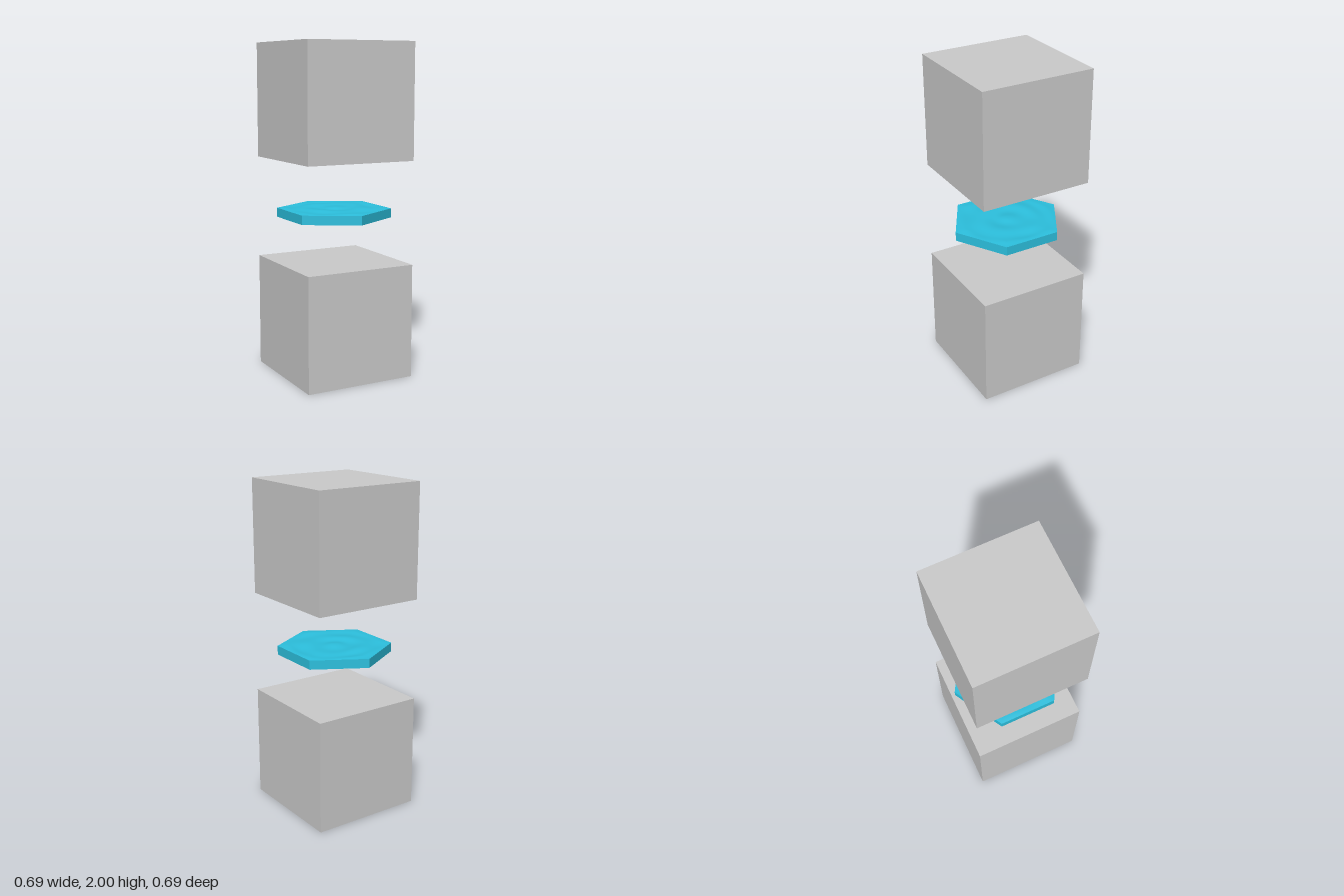
import * as THREE from 'three';
import { mergeVertices } from 'three/addons/utils/BufferGeometryUtils.js';

const SIZE = 0.69;       // cube edge
const RADIUS = 0.345;    // hexagon corner radius
const BOTTOM = 0.955, RIM = 1.01;

// Point on the hexagon outline, t in 0..1, corners on +z and -z
function hexPoint(t) {
  const k = Math.floor(t * 6), f = t * 6 - k;
  const a = k * Math.PI / 3, b = a + Math.PI / 3;
  return [
    RADIUS * THREE.MathUtils.lerp(Math.sin(a), Math.sin(b), f),
    RADIUS * THREE.MathUtils.lerp(Math.cos(a), Math.cos(b), f),
  ];
}

// Gentle irregular ripples
function ripple(x, z) {
  const d = Math.hypot(x, z);
  const warp = 0.8 * Math.sin(11 * x + 2) + 0.8 * Math.cos(13 * z - 1);
  return 0.5 * Math.sin(48 * d + warp) + 0.3 * Math.sin(23 * x - 17 * z) + 0.2 * Math.cos(31 * z + 14 * x);
}

// Water surface: concentric hexagonal rings, level along the rim
function waterSurface() {
  const geometry = new THREE.PlaneGeometry(1, 1, 96, 32);
  const pos = geometry.attributes.position, uv = geometry.attributes.uv;
  for (let i = 0; i < pos.count; i++) {
    const r = 1 - uv.getY(i);
    const [hx, hz] = hexPoint(uv.getX(i) % 1);
    const x = hx * r, z = hz * r;
    const fade = Math.min(1, (1 - r) * 6);
    pos.setXYZ(i, x, RIM + fade * (0.002 + 0.005 * ripple(x, z)), z);
  }
  geometry.deleteAttribute('uv');
  geometry.deleteAttribute('normal');
  const merged = mergeVertices(geometry, 1e-5);
  merged.computeVertexNormals();
  return merged;
}

export function createModel() {
  const model = new THREE.Group();
  const grey = new THREE.MeshStandardMaterial({ color: 0xcccccc });
  const teal = new THREE.MeshStandardMaterial({ color: 0x2cc0de });
  const tealFlat = teal.clone();
  tealFlat.flatShading = true;

  // Cubes below and above the tile
  const cube = new THREE.BoxGeometry(SIZE, SIZE, SIZE);
  for (const [name, y] of [['lowerCube', SIZE / 2], ['upperCube', 2 - SIZE / 2]]) {
    const mesh = new THREE.Mesh(cube, grey);
    mesh.name = name;
    mesh.position.y = y;
    model.add(mesh);
  }

  // Floating hexagonal water tile
  const tile = new THREE.Group();
  tile.name = 'waterTile';
  const height = RIM - BOTTOM;

  const wall = new THREE.Mesh(new THREE.CylinderGeometry(RADIUS, RADIUS, height, 6, 1, true), tealFlat);
  wall.name = 'tileWall';
  wall.position.y = BOTTOM + height / 2;

  const base = new THREE.Mesh(new THREE.CircleGeometry(RADIUS, 6, Math.PI / 2), teal);
  base.name = 'tileBase';
  base.rotation.x = Math.PI / 2;
  base.position.y = BOTTOM;

  const surface = new THREE.Mesh(waterSurface(), teal);
  surface.name = 'waterSurface';

  tile.add(wall, base, surface);
  model.add(tile);
  return model;
}
